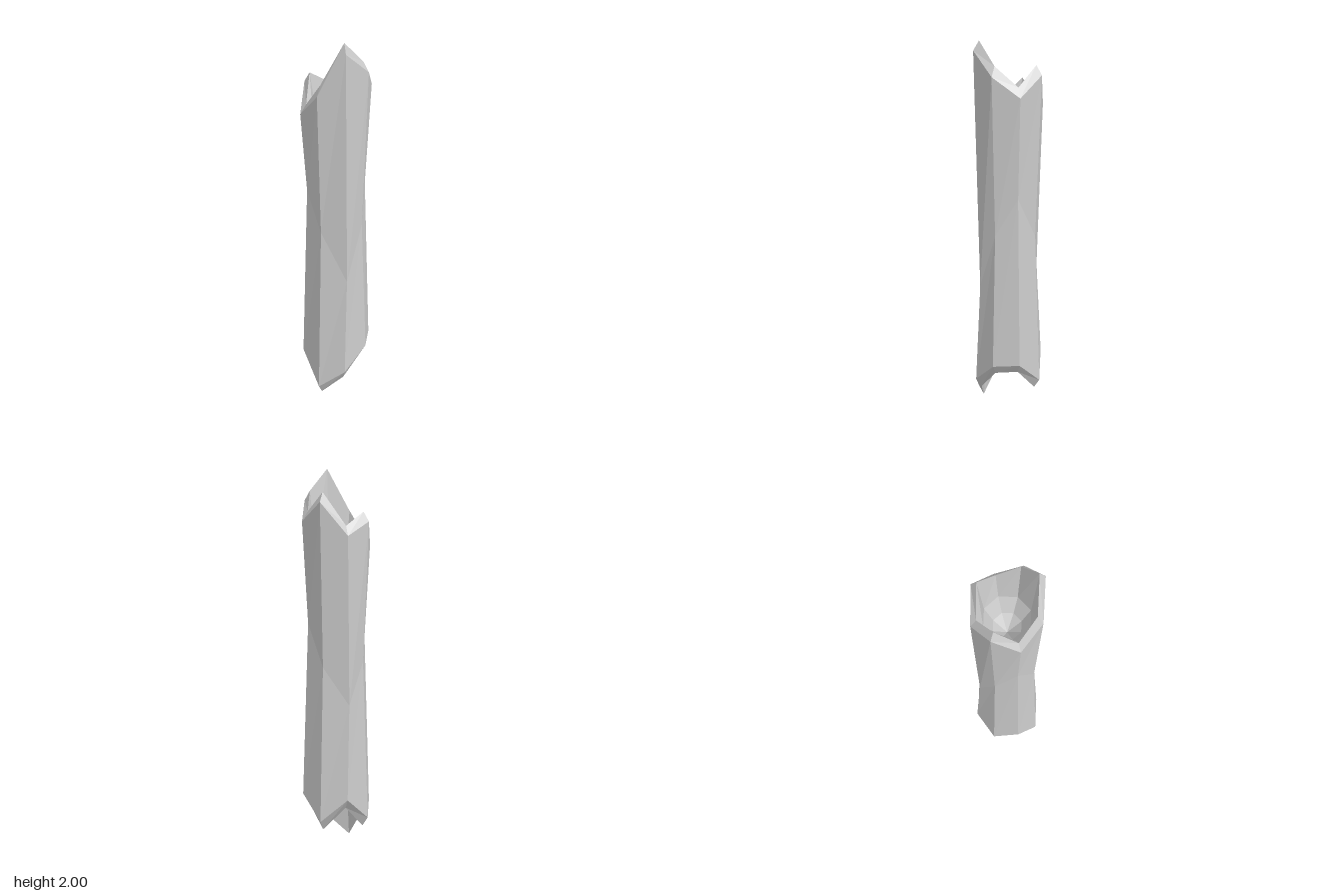
import * as THREE from 'three';

const SIDES = 8;
// Heights of the broken ends and of the waist, per corner, going from +x towards +z
const TOP = [1.835, 1.95, 1.73, 1.60, 1.73, 1.66, 1.83, 1.73];
const BOTTOM = [0.275, 0.155, 0.05, 0.22, 0.16, 0.28, 0.16, 0.285];
const WAIST = [1.0, 0.7, 0.98, 1.18, 1.0, 0.78, 0.98, 1.2];

// One eight-cornered ring; height is a function of the corner index
function ring(radius, height, twist = () => 0) {
  return Array.from({ length: SIDES }, (_, i) => {
    const a = (i / SIDES) * Math.PI * 2 + twist(i);
    return [radius * Math.cos(a), height(i), radius * Math.sin(a)];
  });
}

// Flat-shaded skin through a list of rings
function skin(rings) {
  const pos = [];
  for (let k = 0; k < rings.length - 1; k++) {
    for (let i = 0; i < SIDES; i++) {
      const j = (i + 1) % SIDES;
      const a = rings[k][i], b = rings[k][j], c = rings[k + 1][j], d = rings[k + 1][i];
      if (k > 0) pos.push(...b, ...a, ...d);
      if (k < rings.length - 2 || k === 0) pos.push(...b, ...d, ...c);
      // the first ring is a point, so its fan needs only one triangle
    }
  }
  const g = new THREE.BufferGeometry();
  g.setAttribute('position', new THREE.Float32BufferAttribute(pos, 3));
  g.computeVertexNormals();
  return g;
}

export function createModel() {
  const group = new THREE.Group();
  group.name = 'hollowLog';
  const material = new THREE.MeshStandardMaterial({ color: 0xcccccc, flatShading: true });

  const add = (name, rings) => {
    const mesh = new THREE.Mesh(skin(rings), material);
    mesh.name = name;
    group.add(mesh);
  };

  const bottomOuter = ring(0.187, i => BOTTOM[i]);
  const bottomInner = ring(0.156, i => BOTTOM[i] - 0.048);
  const topOuter = ring(0.187, i => TOP[i]);
  const topInner = ring(0.156, i => TOP[i] + 0.05);
  const waist = ring(0.156, i => WAIST[i], i => (i === 1 || i === 5 ? -0.1 : 0));
  for (const i of [1, 5]) {
    waist[i][0] *= 1.06;
    waist[i][2] *= 1.06;
  }

  // Bark with a narrowed waist
  add('bark', [bottomOuter, bottomOuter, waist, topOuter, topOuter]);
  // Jagged rims
  add('bottomRim', [bottomInner, bottomInner, bottomOuter, bottomOuter]);
  add('topRim', [topOuter, topOuter, topInner, topInner]);
  // Hollows tapering to a point inside each end
  add('bottomHollow', [
    ring(0, () => 0.53), ring(0.075, () => 0.45), ring(0.123, () => 0.36), bottomInner, bottomInner,
  ]);
  add('topHollow', [
    topInner, topInner, ring(0.123, () => 1.6), ring(0.075, () => 1.5), ring(0, () => 1.42),
  ]);
  return group;
}
